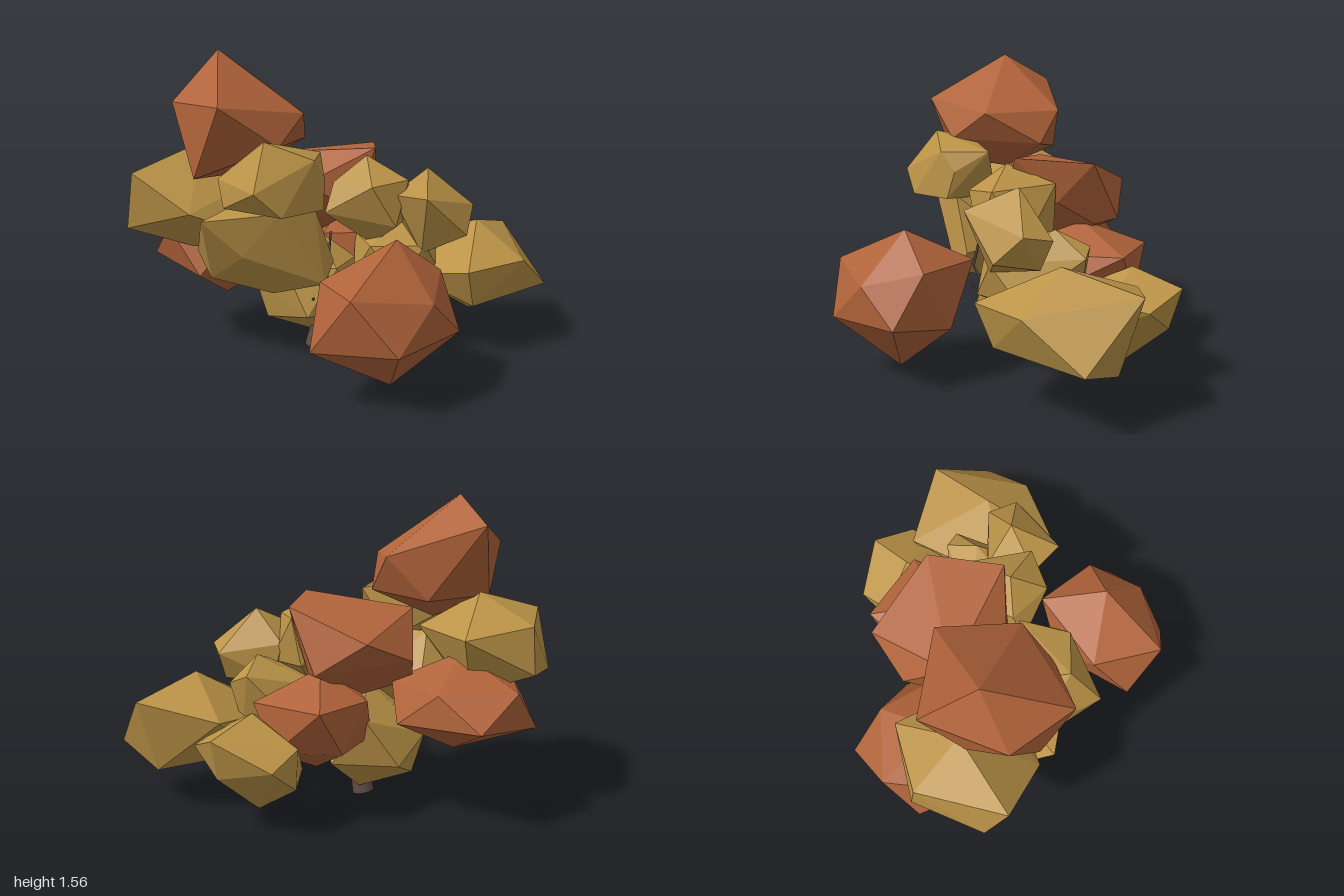
import * as THREE from 'three';
import { ConvexGeometry } from 'three/addons/geometries/ConvexGeometry.js';

const rust = new THREE.MeshStandardMaterial({ color: 0xb0633a });
rust.name = 'rustLeaves';
const ochre = new THREE.MeshStandardMaterial({ color: 0xbb9347 });
ochre.name = 'ochreLeaves';
const bark = new THREE.MeshStandardMaterial({ color: 0x5f4b43 });
bark.name = 'bark';

const UP = new THREE.Vector3(0, 1, 0);
const vec = p => new THREE.Vector3(...p);

// Faceted clump wrapped around a few corners
function hull(name, material, corners) {
  const mesh = new THREE.Mesh(new ConvexGeometry(corners), material);
  mesh.name = name;
  return mesh;
}

// Twelve-cornered clump: fitted to centre and half size, then its nearest corners pulled to given spots
function ball(name, material, centre, half, spin, pulls) {
  const corners = [vec([0, 1, 0]), vec([0, -1, 0])];
  for (let i = 0; i < 10; i++) {
    const a = THREE.MathUtils.degToRad(spin + i * 36);
    corners.push(vec([Math.cos(a), i % 2 ? -0.447 : 0.447, Math.sin(a)]));
  }
  corners.forEach(p => p.multiply(vec(half)).add(vec(centre)));
  const free = [...corners];
  for (const pull of pulls) {
    const target = vec(pull);
    free.sort((a, b) => a.distanceTo(target) - b.distanceTo(target));
    free.shift().copy(target);
  }
  return hull(name, material, corners);
}

// Tapered limb between two points
function limb(name, from, to, r0, r1, sides) {
  const a = vec(from), b = vec(to);
  const dir = b.clone().sub(a);
  const mesh = new THREE.Mesh(new THREE.CylinderGeometry(r1, r0, dir.length(), sides), bark);
  mesh.position.copy(a).add(b).multiplyScalar(0.5);
  mesh.quaternion.setFromUnitVectors(UP, dir.normalize());
  mesh.name = name;
  return mesh;
}

export function createModel() {
  const model = new THREE.Group();
  model.name = 'autumnTree';
  const crown = new THREE.Group();
  crown.name = 'crown';
  model.add(crown);

  // Rust clumps
  crown.add(
    hull('topClump', rust, [
      [-0.54, 1.56, 0.24], [-0.31, 1.27, -0.12], [-0.1, 1.26, 0.22], [-0.36, 1.32, 0.62],
      [-0.68, 1.32, 0.46], [-0.75, 1.42, 0.05], [-0.53, 0.97, 0.55], [-0.15, 1.12, 0.42],
      [-0.2, 1.1, -0.05], [-0.5, 1.06, -0.05], [-0.7, 1.07, 0.25], [-0.42, 0.95, 0.2],
    ].map(vec)),
    hull('frontLeftClump', rust, [
      [0.44, 0.74, 0.46], [0.35, 0.56, 0.85], [0.11, 0.54, 0.57], [0.3, 0.58, 0.16],
      [0.61, 0.57, 0.3], [0.65, 0.5, 0.6], [0.73, 0.32, 0.41], [0.55, 0.31, 0.8],
      [0.14, 0.28, 0.79], [0.15, 0.3, 0.35], [0.5, 0.28, 0.21], [0.43, 0.05, 0.5],
    ].map(vec)),
    hull('backMiddleClump', rust, [
      [0.07, 1.04, -0.39], [0.19, 1.07, -0.02], [-0.4, 1.02, 0], [-0.38, 0.91, -0.46],
      [-0.12, 0.74, -0.48], [-0.03, 0.72, -0.38], [0.13, 0.85, -0.22], [-0.5, 0.8, -0.22],
      [0.1, 0.76, 0.06], [-0.12, 0.9, 0.16], [-0.4, 0.66, 0], [-0.17, 0.58, -0.13],
    ].map(vec)),
    ball('backLowClump', rust, [-0.03, 0.49, -0.31], [0.27, 0.25, 0.29], -40,
      [[0.17, 0.6, -0.56], [-0.22, 0.6, -0.61], [0.23, 0.5, -0.36], [-0.05, 0.74, -0.3]]),
    ball('rightLowClump', rust, [-0.63, 0.55, 0.05], [0.33, 0.26, 0.33], 50,
      [[-1, 0.46, 0.13], [-0.88, 0.52, -0.32], [-0.44, 0.5, -0.26], [-0.57, 0.29, 0.15],
        [-0.97, 0.67, -0.08], [-0.37, 0.41, 0.0]]),
  );

  // Ochre clumps
  crown.add(
    hull('rightClump', ochre, [
      [-0.67, 1.09, 0.2], [-0.72, 0.9, -0.13], [-0.97, 0.95, 0.12], [-0.86, 0.98, 0.56],
      [-0.95, 0.68, 0.48], [-0.99, 0.72, 0.1], [-0.55, 0.8, 0.57], [-0.38, 0.91, 0.12],
      [-0.4, 0.71, 0.42], [-0.58, 0.55, 0.3], [-0.7, 0.62, 0.02],
    ].map(vec)),
    hull('frontClump', ochre, [
      [-0.47, 0.78, 0.61], [-0.59, 0.58, 0.42], [-0.53, 0.44, 0.4], [-0.24, 0.36, 0.3],
      [0.05, 0.45, 0.34], [0.07, 0.55, 0.27], [0, 0.84, 0.35], [-0.3, 0.6, 0.52],
      [-0.12, 0.82, 0.5], [-0.35, 0.85, 0.3], [-0.1, 0.6, 0.07], [-0.4, 0.6, 0.1],
    ].map(vec)),
    hull('frontHighClump', ochre, [
      [-0.18, 1.16, 0.52], [0.03, 1.07, 0.42], [-0.16, 0.95, 0.69], [0.05, 0.97, 0.34],
      [0.06, 0.83, 0.38], [-0.38, 0.84, 0.55], [-0.43, 0.97, 0.5], [-0.28, 1.12, 0.36],
      [-0.03, 1.07, 0.18], [-0.06, 0.83, 0.61], [-0.2, 0.82, 0.2],
    ].map(vec)),
    hull('leftClump', ochre, [
      [0.65, 0.66, -0.36], [0.73, 0.57, -0.74], [1, 0.29, -0.54], [0.92, 0.49, -0.25],
      [0.69, 0.48, 0.03], [0.7, 0.2, -0.63], [0.63, 0.19, -0.3], [0.3, 0.5, -0.65],
      [0.35, 0.42, -0.06], [0.7, 0.28, -0.06], [0.32, 0.28, -0.4],
    ].map(vec)),
    hull('leftHighClump', ochre, [
      [0.44, 0.97, -0.11], [0.5, 0.86, 0.14], [0.66, 0.78, -0.19], [0.55, 0.75, -0.3],
      [0.66, 0.65, -0.05], [0.31, 0.86, 0.09], [0.45, 0.56, 0.03], [0.55, 0.61, -0.24],
      [0.26, 0.8, -0.15], [0.3, 0.62, -0.18],
    ].map(vec)),
    ball('lowClump', ochre, [-0.14, 0.36, 0], [0.29, 0.27, 0.25], 30,
      [[-0.37, 0.15, 0.08], [-0.12, 0.065, -0.02], [0.13, 0.25, 0.07], [-0.43, 0.36, 0.1],
        [-0.07, 0.24, 0.27], [0.05, 0.48, 0.17]]),
    ball('backClump', ochre, [0.15, 0.33, -0.57], [0.25, 0.23, 0.26], 10,
      [[0.21, 0.48, -0.85], [-0.07, 0.35, -0.78], [0.4, 0.4, -0.72], [0.14, 0.08, -0.57],
        [-0.1, 0.42, -0.6], [0.15, 0.56, -0.6], [0.22, 0.28, -0.79]]),
    ball('middleHighClump', ochre, [0.18, 0.81, 0], [0.2, 0.23, 0.21], 0,
      [[0.16, 1.04, 0.03], [0.38, 0.93, 0.04], [0.16, 0.95, -0.22], [0, 0.77, 0.2]]),
    ball('innerClump', ochre, [0.28, 0.51, -0.13], [0.23, 0.2, 0.27], 35,
      [[0.3, 0.68, -0.42], [0.4, 0.64, -0.42], [0.34, 0.76, -0.26]]),
  );

  // Leaning trunk
  model.add(limb('trunk', [-0.108, 0.012, 0.052], [-0.07, 0.2, 0.045], 0.058, 0.042, 16));

  // Thin twigs peeping out between the clumps
  const twigs = [
    [[-0.06, 0.32, 0.22], [-0.03, 0.35, 0.28]],
    [[0.02, 0.41, 0.22], [0.03, 0.48, 0.25]],
    [[0.03, 0.48, 0.25], [0.03, 0.68, 0.2]],
  ];
  twigs.forEach(([a, b], i) => model.add(limb('twig' + (i + 1), a, b, 0.008, 0.005, 6)));
  return model;
}
